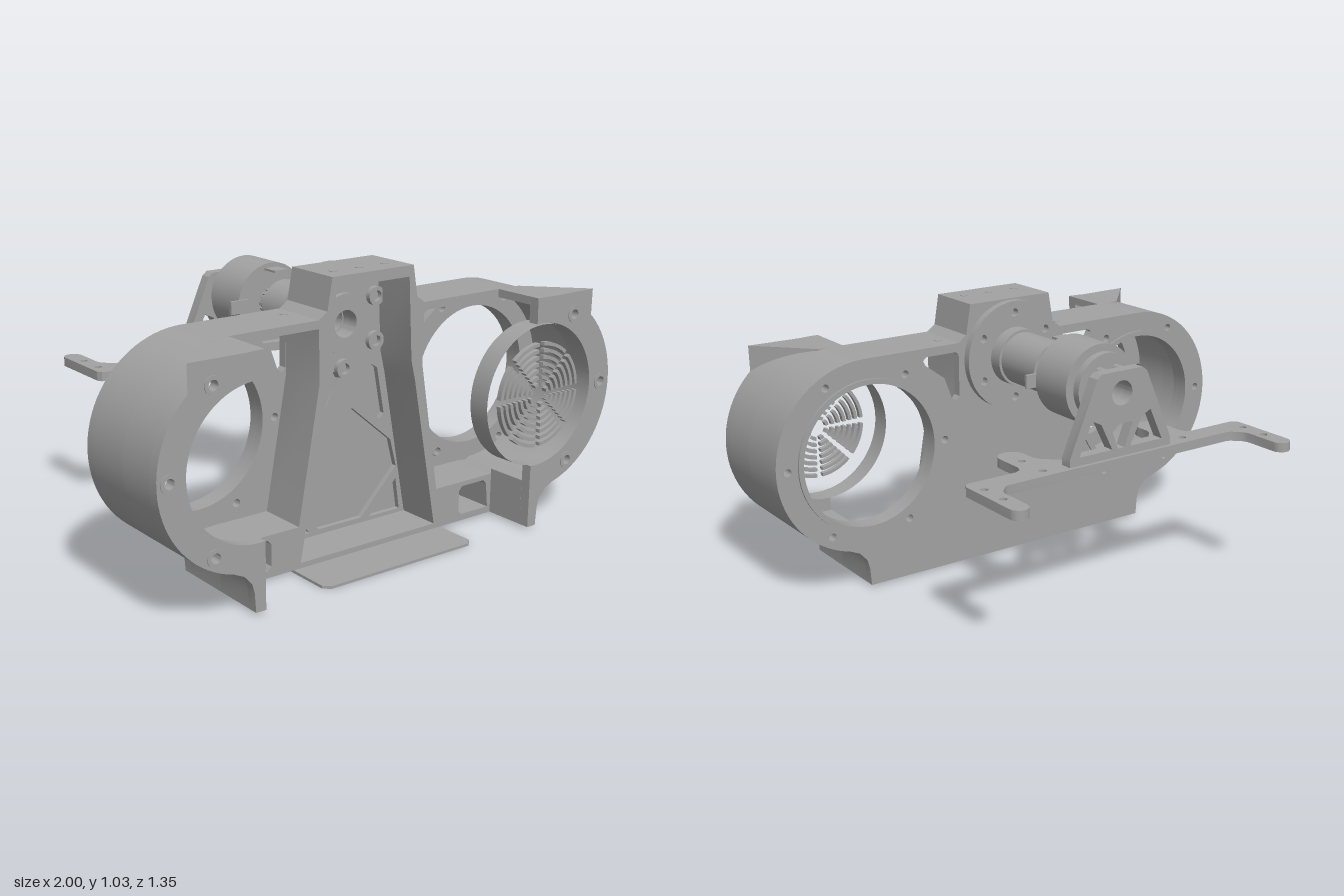
import * as THREE from 'three';
import { toCreasedNormals } from 'three/addons/utils/BufferGeometryUtils.js';

const grey = new THREE.MeshStandardMaterial({ color: 0xa2a2a2, side: THREE.DoubleSide });
grey.name = 'machined grey';

const CX = 0.635, CY = 0.52, R = 0.365; // lobe centre and outer radius
const HUB = 0.81;                       // shaft axis height

function poly(points) {
  return new THREE.Shape(points.map(([x, y]) => new THREE.Vector2(x, y)));
}
// Points on an arc, angles in degrees
function arc(cx, cy, r, a0, a1, n = 40) {
  return Array.from({ length: n + 1 }, (_, i) => {
    const a = THREE.MathUtils.degToRad(a0 + (a1 - a0) * i / n);
    return [cx + r * Math.cos(a), cy + r * Math.sin(a)];
  });
}
const circle = (x, y, r, n = 40) => arc(x, y, r, 0, 360 - 360 / n, n - 1);
const flip = (pts, s) => pts.map(([x, y]) => [x * s, y]);

// Extrudes an outline with holes from z0 to z1
function slab(parent, name, outline, holes, z0, z1) {
  const shape = poly(outline);
  shape.holes = holes.map(poly);
  let geo = new THREE.ExtrudeGeometry(shape, { depth: z1 - z0, bevelEnabled: false });
  geo.translate(0, 0, z0);
  geo = toCreasedNormals(geo, 0.5);
  return add(parent, name, geo);
}
// Horizontal slab, outline given as x and z
function flatSlab(parent, name, outline, holes, y0, y1) {
  const mesh = slab(parent, name, outline, holes, 0, y1 - y0);
  mesh.geometry.rotateX(Math.PI / 2);
  mesh.geometry.translate(0, y1, 0);
  return mesh;
}
function add(parent, name, geo) {
  const mesh = new THREE.Mesh(geo, grey);
  mesh.name = name;
  parent.add(mesh);
  return mesh;
}
// Hollow round part on the shaft axis
function tube(parent, name, r, z0, z1, bore = 0.045) {
  return slab(parent, name, circle(0, HUB, r, 56), [circle(0, HUB, bore)], z0, z1);
}

// Outer side of one lobe, from the top down to the foot, on -x
const lobeEdge = [...arc(-CX, CY, R, 90, 256), [-0.685, 0.148], [-0.655, 0.115], [-0.645, 0.08], [-0.64, 0.01]];
const boltRing = (s, r, angles) => angles.map(a => {
  const [[x, y]] = arc(-0.63, CY, 0.325, a, a, 1);
  return circle(x * s, y, r, 16);
});

function buildHousing(root) {
  const g = new THREE.Group();
  g.name = 'housing';
  root.add(g);
  const left = [[-0.18, 1.025], [-0.2, 0.91], [-0.235, 0.885], ...lobeEdge];
  const outline = [...left, ...flip(left, -1).reverse()];
  const cavity = [[-0.235, 0.855], ...arc(-CX, CY, 0.335, 90, 270), [-0.6, 0.165], [-0.318, 0.165], [-0.232, 0.66]];
  const footPocket = [[-0.57, 0.05], [-0.585, 0.035], [-0.45, 0.035], [-0.435, 0.05], [-0.435, 0.13],
    [-0.45, 0.147], [-0.56, 0.147], [-0.575, 0.13]].slice(1);
  const column = [[-0.31, 0.03], [0.31, 0.03], [0.2, 0.6], [0.18, 0.68], [0.162, 0.985], [-0.162, 0.985], [-0.18, 0.68], [-0.2, 0.6]];
  const sideWindow = [[-0.39, 0.84], [-0.375, 0.852], [-0.25, 0.852], [-0.235, 0.84], [-0.235, 0.68], [-0.25, 0.665],
    [-0.27, 0.68], [-0.3, 0.76], [-0.38, 0.82]];
  const both = pts => [pts, flip(pts, -1)];

  // Deep walls and the closed back
  slab(g, 'walls', outline, [...both(cavity), ...both(footPocket), column], 0.28, 0.47);
  const bolts = [1, -1].flatMap(s => boltRing(s, 0.015, [0, 60, 120, 180, 240, 300]));
  const bores = both(circle(-0.625, CY, 0.27, 64));
  const hubBolts = [0, 1, 2, 3, 4, 5].map(i => {
    const [[x, y]] = arc(0, HUB, 0.165, 30 + i * 60, 30 + i * 60, 1);
    return [x, y];
  });
  slab(g, 'backPlate', outline, [...bores, ...both(sideWindow), ...bolts, circle(0, HUB, 0.05)], 0.245, 0.28);

  // Ribs around the shallow pockets of the column
  const upperPocket = [[-0.2, 0.44], [-0.165, 0.62], [-0.14, 0.635], [-0.03, 0.635], [-0.015, 0.61], [-0.07, 0.51], [-0.18, 0.42]];
  const mainPocket = [[-0.05, 0.485], [0.05, 0.485], [0.235, 0.33], [0.265, 0.22], [0.1, 0.05], [-0.1, 0.05], [-0.265, 0.22], [-0.235, 0.33]];
  const cornerPocket = [[-0.285, 0.045], [-0.14, 0.045], [-0.265, 0.17]];
  slab(g, 'columnRibs', column, [...both(upperPocket), mainPocket, ...both(cornerPocket), circle(0, HUB, 0.11)], 0.28, 0.3);
  tube(g, 'hubBoss', 0.11, 0.28, 0.32, 0.05);
  hubBolts.forEach(([x, y]) => slab(g, 'hubBolt', circle(x, y, 0.035, 24), [circle(x, y, 0.02, 16)], 0.3, 0.32));

  // Small screw discs on the top
  [[-0.275, 0.885, 0.325], [0.275, 0.885, 0.325], [-0.115, 1.025, 0.39], [0, 1.025, 0.39], [0.115, 1.025, 0.39]].forEach(([x, y, z]) => {
    const geo = new THREE.CylinderGeometry(0.015, 0.015, 0.004, 16);
    add(g, 'topScrew', geo.translate(x, y, z));
  });
  for (const s of [1, -1]) buildLobe(g, s);
}

// s = 1 builds the -x lobe, s = -1 the +x lobe
function buildLobe(root, s) {
  const g = new THREE.Group();
  g.name = s > 0 ? 'rightLobe' : 'leftLobe';
  root.add(g);
  const bore = circle(-0.625 * s, CY, 0.27, 64);
  slab(g, 'boreStep', circle(-0.63 * s, CY, 0.345, 64), [bore, ...boltRing(s, 0.015, [0, 60, 120, 180, 240, 300])], 0.28, 0.31);
  slab(g, 'backLip', circle(-0.625 * s, CY, 0.29, 64), [bore], 0.237, 0.245);

  // Outer half shell and its front flange
  const edge = [[-0.6, 0.885], ...lobeEdge, [-0.6, 0.01]];
  slab(g, 'outerShell', flip([...edge, [-0.6, 0.185], ...arc(-CX, CY, 0.335, 270, 90)
    , [-0.6, 0.855]], s), [], 0.47, 0.63);
  slab(g, 'frontFlange', flip([...edge, ...arc(-0.625, CY, 0.27, 275, 85)], s),
    boltRing(s, 0.018, [120, 180, 240]), 0.63, 0.67);
  for (const a of [120, 180, 240]) {
    const [[x, y]] = arc(-0.63, CY, 0.325, a, a, 1);
    slab(g, 'flangeBolt', circle(x * s, y, 0.032, 24), [circle(x * s, y, 0.018, 16)], 0.67, 0.673);
  }

  // Corner ear that narrows toward the back and follows the lobe
  const ear = [...arc(-CX, CY, R - 0.002, 90, 133.2, 16), [-0.885, 0.885]];
  const geo = new THREE.ExtrudeGeometry(poly(ear), { depth: 0.2, bevelEnabled: false });
  const p = geo.attributes.position;
  for (let i = 0; i < p.count; i++) {
    const k = 0.26 + 0.74 * p.getZ(i) / 0.2;
    const dx = (p.getX(i) + CX) * k;
    const corner = p.getX(i) < -0.8849 && p.getY(i) > 0.88;
    p.setXYZ(i, -CX + dx, corner ? 0.885 : CY + Math.sqrt((R - 0.002) ** 2 - dx * dx), p.getZ(i) + 0.47);
  }
  if (s < 0) geo.rotateY(Math.PI).scale(1, 1, -1);
  geo.computeVertexNormals();
  if (s < 0) for (let i = 0; i < p.count; i += 3) { // restore corner order after mirroring
    const a = [p.getX(i), p.getY(i), p.getZ(i)];
    p.setXYZ(i, p.getX(i + 1), p.getY(i + 1), p.getZ(i + 1));
    p.setXYZ(i + 1, ...a);
  }
  geo.computeVertexNormals();
  add(g, 'cornerEar', geo);
}

// Open rim with concentric arc slats
function buildGrille(root) {
  const g = new THREE.Group();
  g.name = 'grille';
  root.add(g);
  const rim = new THREE.CylinderGeometry(0.265, 0.265, 0.085, 64, 1, true);
  add(g, 'grilleRim', rim.rotateX(Math.PI / 2).translate(0.63, CY, 0.628));
  [0.035, 0.06, 0.085, 0.11, 0.135, 0.16, 0.185].forEach(r => {
    const gap = 0.5 / r * 0.6 + 2;
    for (let i = 0; i < 8; i++) {
      const a0 = i * 45 + gap, a1 = (i + 1) * 45 - gap;
      slab(g, 'grilleSlat', [...arc(0.63, CY, r, a0, a1, 8), ...arc(0.63, CY, r + 0.013, a1, a0, 8)], [], 0.65, 0.67);
    }
  });
}

function buildDrive(root) {
  const g = new THREE.Group();
  g.name = 'drive';
  root.add(g);
  const bolts = [0, 60, 120, 180, 240, 300].map(a => arc(0, HUB, 0.165, a + 30, a + 30, 1)[0]);
  slab(g, 'mountFlange', circle(0, HUB, 0.21, 64), [circle(0, HUB, 0.045), ...bolts.map(([x, y]) => circle(x, y, 0.016, 16))], 0.215, 0.245);
  tube(g, 'shaftCollar', 0.11, 0.16, 0.215);
  tube(g, 'shaftSleeve', 0.1, -0.05, 0.16);
  tube(g, 'splinedShaft', 0.05, -0.13, -0.05);
  for (let i = 0; i < 16; i++) {
    const fin = new THREE.BoxGeometry(0.01, 0.01, 0.08).translate(0, 0.051, 0).rotateZ(i * Math.PI / 8);
    add(g, 'splineTooth', fin.translate(0, HUB, -0.09));
  }
  tube(g, 'motor', 0.15, -0.31, -0.13);
  for (const s of [1, -1]) {
    add(g, 'motorTab', new THREE.BoxGeometry(0.08, 0.05, 0.012).translate(s * 0.15, HUB, -0.125));
  }
  add(g, 'motorFin', new THREE.BoxGeometry(0.06, 0.008, 0.07).translate(0, 0.938, -0.1));
  tube(g, 'spacer', 0.11, -0.32, -0.31);
  tube(g, 'disc', 0.125, -0.35, -0.32);
  tube(g, 'connector', 0.06, -0.39, -0.35);
  for (let i = 0; i < 6; i++) {
    const [[x, y]] = arc(0, HUB, 0.075, i * 60, i * 60, 1);
    slab(g, 'connectorPost', circle(x, y, 0.015, 16), [], -0.39, -0.35);
  }
}

function buildBracket(root) {
  const g = new THREE.Group();
  g.name = 'bracket';
  root.add(g);
  const tri = [[-0.185, 0.61], [-0.04, 0.61], [-0.09, 0.71], [-0.13, 0.73]];
  slab(g, 'bracketUpright', [[-0.225, 0.578], [0.225, 0.578], [0.225, 0.61], [0.11, 0.875], [0.09, 0.89], [-0.09, 0.89], [-0.11, 0.875], [-0.225, 0.61]],
    [tri, flip(tri, -1), [[-0.015, 0.61], [0.015, 0.61], [0.05, 0.7], [-0.05, 0.7]], circle(0, HUB, 0.045)], -0.435, -0.39);

  // Forked plate with rounded ears and legs
  const half = [[0, -0.45], [-0.49, -0.45], [-0.505, -0.455], [-0.535, -0.485], [-0.545, -0.505], ...arc(-0.58, -0.637, 0.035, 0, -180, 12),
    [-0.615, -0.385], [-0.605, -0.367], [-0.59, -0.36], [-0.4, -0.36], [-0.375, -0.35], [-0.365, -0.325],
    ...arc(-0.313, -0.215, 0.052, 180, 0, 14), [-0.261, -0.265], [-0.25, -0.29], [-0.195, -0.345], [-0.165, -0.36]];
  const holes = [[-0.58, -0.55], [-0.58, -0.44], [-0.315, -0.4], [-0.315, -0.275]].flatMap(([x, z]) =>
    [circle(x, z, 0.014, 16), circle(-x, z, 0.014, 16)]);
  flatSlab(g, 'forkPlate', [...half, ...flip(half.slice(1), -1).reverse()], holes, 0.545, 0.58);
}

export function createModel() {
  const root = new THREE.Group();
  root.name = 'model';
  buildHousing(root);
  buildGrille(root);
  buildDrive(root);
  buildBracket(root);
  // Thin chamfered plate under the front
  flatSlab(root, 'bottomPlate', [[-0.34, 0.325], [0.34, 0.325], [0.34, 0.63], [0.315, 0.652], [-0.315, 0.652], [-0.34, 0.63]], [], 0, 0.01);
  return root;
}
